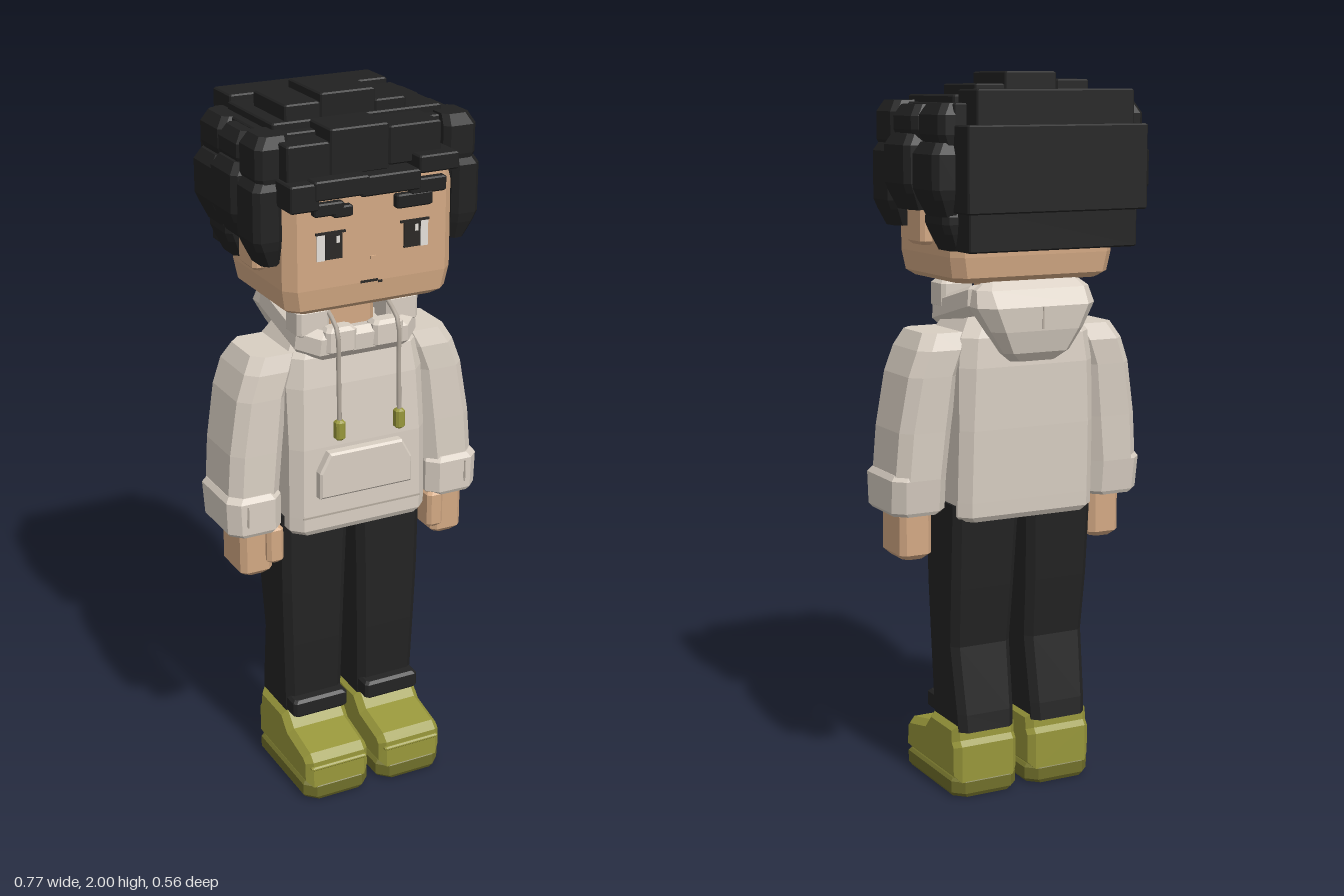
import * as THREE from 'three';

const mat = (name, color) => Object.assign(new THREE.MeshStandardMaterial({ color }), { name });

export function createModel() {
  const model = new THREE.Group();
  model.name = 'hoodieFigure';
  const skin = mat('skin', 0xd2a883), hair = mat('hairBlack', 0x212121), pants = mat('trouserBlack', 0x232323);
  const cloth = mat('hoodieCream', 0xd8cec2), olive = mat('shoeOlive', 0x97963a), sole = mat('soleOlive', 0x6f6e2a);
  const white = mat('eyeWhite', 0xe4e0da), dark = mat('eyeDark', 0x2a2826), cord = mat('cordGrey', 0xb4aa9e);

  const add = (name, geo, m, parent = model) => {
    const mesh = new THREE.Mesh(geo, m);
    mesh.name = name;
    parent.add(mesh);
    return mesh;
  };

  // Octagonal loop: a rectangle with cut corners; slope tilts it along z
  const loop = ([y, xa, xb, z0, z1, c = 0.02], slope = 0) => {
    const x0 = Math.min(xa, xb), x1 = Math.max(xa, xb);
    return [[x1, z0 + c], [x1, z1 - c], [x1 - c, z1], [x0 + c, z1], [x0, z1 - c], [x0, z0 + c], [x0 + c, z0], [x1 - c, z0]]
      .map(([x, z]) => [x, y + slope * z, z]);
  };

  // Flat-faced loft through sections listed from bottom to top
  const loft = (sections, { slope = 0, caps = true } = {}) => {
    const rings = sections.map((s) => loop(s, slope)), pos = [];
    const tri = (...p) => p.forEach((v) => pos.push(...v));
    for (let k = 0; k < rings.length - 1; k++) {
      for (let i = 0; i < 8; i++) {
        const a = rings[k], b = rings[k + 1], j = (i + 1) % 8;
        tri(a[i], b[i], b[j]);
        tri(a[i], b[j], a[j]);
      }
    }
    const top = rings[rings.length - 1];
    for (let i = 1; caps && i < 7; i++) {
      tri(rings[0][0], rings[0][i], rings[0][i + 1]);
      tri(top[0], top[i + 1], top[i]);
    }
    const g = new THREE.BufferGeometry();
    g.setAttribute('position', new THREE.Float32BufferAttribute(pos, 3));
    g.computeVertexNormals();
    return g;
  };

  // Box with all edges chamfered
  const chunk = (xa, xb, y0, y1, z0, z1, c = 0.008) => {
    const x0 = Math.min(xa, xb), x1 = Math.max(xa, xb);
    const sec = (y, i) => [y, x0 + i, x1 - i, z0 + i, z1 - i, c];
    return loft([sec(y0, c), sec(y0 + c, 0), sec(y1 - c, 0), sec(y1, c)]);
  };

  // Side profile in (z, y) extruded across x
  const sideExtrude = (pts, x, width, bevel) => {
    const g = new THREE.ExtrudeGeometry(new THREE.Shape(pts.map((p) => new THREE.Vector2(...p))), {
      depth: width - 2 * bevel, bevelThickness: bevel, bevelSize: bevel, bevelOffset: -bevel, bevelSegments: 1,
    });
    return g.rotateY(-Math.PI / 2).translate(x + width / 2 - bevel, 0, 0);
  };

  // Paired limbs
  for (const s of [-1, 1]) {
    const side = s > 0 ? 'left' : 'right';
    const limb = (name, rows, m) => add(side + name, loft(rows.map(([y, a, b, ...r]) => [y, s * a, s * b, ...r])), m);

    limb('Sole', [[0, 0.025, 0.21, -0.085, 0.245, 0.03], [0.012, 0.015, 0.218, -0.092, 0.252, 0.03],
      [0.045, 0.015, 0.218, -0.092, 0.252, 0.03], [0.052, 0.025, 0.21, -0.085, 0.245, 0.03]], sole);
    add(side + 'Shoe', sideExtrude([[-0.09, 0.045], [0.25, 0.045], [0.247, 0.125], [0.225, 0.145], [0.12, 0.168],
      [0.08, 0.21], [-0.075, 0.21], [-0.078, 0.165], [-0.09, 0.15]], s * 0.117, 0.196, 0.018), olive);
    add(side + 'ShoeSeam', chunk(s * 0.03, s * 0.204, 0.1, 0.112, 0.22, 0.254, 0.004), olive);

    limb('TrouserLeg', [[0.19, 0.03, 0.2, -0.095, 0.095], [0.24, 0.028, 0.202, -0.09, 0.098],
      [0.43, 0.024, 0.208, -0.06, 0.103], [0.6, 0.02, 0.213, -0.078, 0.107], [0.84, 0.012, 0.215, -0.095, 0.11]], pants);
    add(side + 'TrouserCuff', chunk(s * 0.03, s * 0.2, 0.205, 0.26, 0.06, 0.132), pants);

    limb('Sleeve', [[0.92, 0.225, 0.375, -0.085, 0.128, 0.03], [1.05, 0.212, 0.365, -0.09, 0.125, 0.03],
      [1.2, 0.195, 0.34, -0.098, 0.12, 0.03], [1.27, 0.17, 0.315, -0.1, 0.115, 0.03],
      [1.315, 0.15, 0.29, -0.08, 0.1, 0.03]], cloth);
    limb('SleeveCuff', [[0.82, 0.235, 0.375, -0.07, 0.135, 0.03], [0.83, 0.225, 0.383, -0.075, 0.14, 0.03],
      [0.92, 0.225, 0.386, -0.085, 0.14, 0.03], [0.935, 0.235, 0.375, -0.08, 0.13, 0.03]], cloth);
    add(side + 'CuffSeam', chunk(s * 0.333, s * 0.338, 0.85, 0.915, 0.135, 0.143, 0.002), cord);

    add(side + 'Hand', chunk(s * 0.25, s * 0.345, 0.685, 0.84, -0.025, 0.115, 0.015), skin);
    add(side + 'Thumb', chunk(s * 0.225, s * 0.275, 0.72, 0.83, 0.05, 0.133, 0.01), skin);
    add(side + 'Ear', chunk(s * 0.23, s * 0.277, 1.545, 1.67, -0.025, 0.075, 0.01), skin);

    // Drawstring with olive tip
    const path = new THREE.CatmullRomCurve3([[1.43, 0.12], [1.39, 0.182], [1.28, 0.19], [1.13, 0.196]]
      .map(([y, z]) => new THREE.Vector3(s * 0.09, y, z)));
    add(side + 'Drawstring', new THREE.TubeGeometry(path, 10, 0.007, 6), cord);
    add(side + 'DrawstringTip', chunk(s * 0.076, s * 0.104, 1.085, 1.142, 0.182, 0.21, 0.006), olive);

    // Eye
    add(side + 'EyeWhite', new THREE.BoxGeometry(0.022, 0.07, 0.006).translate(s * 0.15, 1.63, 0.206), white);
    add(side + 'Iris', new THREE.BoxGeometry(0.048, 0.066, 0.007).translate(s * 0.114, 1.63, 0.207), dark);
    add(side + 'EyeGlint', new THREE.BoxGeometry(0.01, 0.018, 0.004).translate(s * 0.114 + 0.012, 1.648, 0.21), white);
    add(side + 'LashLine', new THREE.BoxGeometry(0.084, 0.006, 0.007).translate(s * 0.122, 1.667, 0.207), dark);
  }

  // Hoodie body, hem and pouch
  add('hoodieBody', loft([[0.795, -0.195, 0.195, -0.11, 0.15, 0.03], [0.81, -0.208, 0.208, -0.12, 0.158, 0.03],
    [0.85, -0.208, 0.208, -0.122, 0.158, 0.03], [1.05, -0.206, 0.206, -0.13, 0.155, 0.03],
    [1.22, -0.204, 0.204, -0.132, 0.142, 0.035], [1.3, -0.195, 0.195, -0.125, 0.128, 0.035],
    [1.355, -0.16, 0.16, -0.1, 0.1, 0.035]]), cloth);
  add('hemSeam', new THREE.BoxGeometry(0.36, 0.005, 0.004).translate(0, 0.85, 0.158), cord);
  const pouch = new THREE.Shape([[-0.14, 0.91], [0.14, 0.91], [0.14, 0.985], [0.11, 1.04], [-0.11, 1.04], [-0.14, 0.985]]
    .map((p) => new THREE.Vector2(...p)));
  add('pouchPocket', new THREE.ExtrudeGeometry(pouch, {
    depth: 0.03, bevelThickness: 0.006, bevelSize: 0.006, bevelOffset: -0.006, bevelSegments: 1,
  }).translate(0, 0, 0.148), cloth);

  // Tilted collar ring, front flaps and hanging hood
  add('collar', loft([[1.335, -0.165, 0.165, -0.14, 0.145, 0.05], [1.36, -0.182, 0.182, -0.155, 0.165, 0.05],
    [1.405, -0.178, 0.178, -0.15, 0.168, 0.05], [1.418, -0.16, 0.16, -0.13, 0.15, 0.05],
    [1.4, -0.125, 0.125, -0.11, 0.11, 0.04], [1.335, -0.125, 0.125, -0.11, 0.11, 0.04],
    [1.335, -0.165, 0.165, -0.14, 0.145, 0.05]], { slope: -0.25, caps: false }), cloth);
  for (const s of [-1, 1]) {
    add('collarFlap', chunk(s * 0.085, s * 0.18, 1.36, 1.44, 0.05, 0.135, 0.01), cloth);
    add('collarFrontEnd', chunk(s * 0.025, s * 0.115, 1.315, 1.39, 0.12, 0.175, 0.01), cloth);
  }
  add('hood', loft([[1.235, -0.07, 0.07, -0.155, -0.1], [1.26, -0.1, 0.1, -0.175, -0.1], [1.32, -0.14, 0.14, -0.19, -0.09, 0.03],
    [1.385, -0.178, 0.178, -0.195, -0.06, 0.04], [1.43, -0.17, 0.17, -0.165, -0.08, 0.03],
    [1.452, -0.14, 0.14, -0.14, -0.1, 0.015]]), cloth);
  add('hoodSeam', new THREE.BoxGeometry(0.004, 0.06, 0.004).translate(0, 1.355, -0.193), cord);

  // Neck and head
  add('neck', chunk(-0.08, 0.08, 1.3, 1.48, -0.09, 0.08, 0.02), skin);
  add('head', loft([[1.45, -0.215, 0.215, -0.135, 0.18, 0.03], [1.465, -0.235, 0.235, -0.152, 0.2, 0.03],
    [1.52, -0.245, 0.245, -0.158, 0.206, 0.03], [1.75, -0.245, 0.245, -0.16, 0.204, 0.03],
    [1.82, -0.24, 0.24, -0.15, 0.2, 0.03], [1.85, -0.22, 0.22, -0.13, 0.18, 0.03]]), skin);
  add('nose', new THREE.BoxGeometry(0.016, 0.008, 0.009).translate(0, 1.585, 0.207), skin);
  add('mouth', new THREE.BoxGeometry(0.05, 0.006, 0.006).translate(-0.01, 1.522, 0.206), dark);
  add('mouthCorner', new THREE.BoxGeometry(0.012, 0.006, 0.006).translate(0.022, 1.517, 0.206), dark);

  // Eyebrows
  for (const [x0, x1, y0, y1] of [[-0.175, -0.09, 1.716, 1.75], [-0.12, -0.065, 1.708, 1.738],
    [0.06, 0.165, 1.708, 1.745], [0.1, 0.205, 1.74, 1.78]]) {
    add('eyebrow', chunk(x0, x1, y0, y1, 0.19, 0.225, 0.004), hair);
  }

  // Blocky hair: x0, x1, y0, y1, z0, z1
  const blocks = {
    hairCore: [[-0.265, 0.265, 1.74, 1.92, -0.2, 0.15], [-0.24, 0.245, 1.88, 1.94, -0.155, 0.12],
      [-0.1, 0.01, 1.9, 1.955, -0.17, 0.1]],
    hairCrown: [[-0.1, 0.055, 1.92, 2.0, -0.08, 0.11], [-0.2, -0.1, 1.92, 1.98, -0.08, 0.11],
      [0.055, 0.145, 1.92, 1.968, -0.08, 0.11]],
    hairFront: [[-0.255, -0.135, 1.81, 1.91, 0.05, 0.235], [-0.135, 0.03, 1.82, 1.94, 0.1, 0.235],
      [0.03, 0.18, 1.83, 1.93, 0.1, 0.235]],
    hairFringe: [[-0.265, -0.185, 1.75, 1.82, 0.18, 0.275], [-0.2, -0.045, 1.775, 1.825, 0.18, 0.278],
      [-0.07, 0.1, 1.77, 1.822, 0.18, 0.278], [0.095, 0.21, 1.81, 1.855, 0.18, 0.278]],
    hairBack: [[-0.268, 0.265, 1.64, 1.865, -0.278, -0.11], [-0.235, 0.23, 1.84, 1.955, -0.26, -0.15],
      [-0.25, 0.25, 1.54, 1.66, -0.255, -0.13]],
  };
  for (const [name, list] of Object.entries(blocks)) list.forEach((b) => add(name, chunk(...b, 0.004), hair));

  // Tapered side locks: inner x, outer x, y0, y1, z0, z1
  for (const s of [-1, 1]) {
    for (const [a, b, y0, y1, z0, z1] of [
      [0.22, 0.315, 1.75, 1.925, 0.07, 0.19], [0.245, 0.325, 1.59, 1.82, 0.07, 0.195],
      [0.2, 0.315, 1.78, 1.915, -0.06, 0.08], [0.235, 0.338, 1.64, 1.84, -0.06, 0.09],
      [0.2, 0.305, 1.77, 1.92, -0.2, -0.06], [0.24, 0.325, 1.63, 1.82, -0.205, -0.06],
      [0.23, 0.29, 1.54, 1.66, -0.19, -0.06]]) {
      const t = (y, o, i) => [y, s * a, s * (b - o), z0 + i, z1 - i, 0.015];
      add('hairSideLock', loft([t(y0, 0.03, 0.018), t(y0 + 0.045, 0.01, 0.004), t(y0 + 0.07, 0, 0),
        t(y1 - 0.03, 0, 0), t(y1, 0.018, 0.012)]), hair);
    }
  }
  return model;
}
